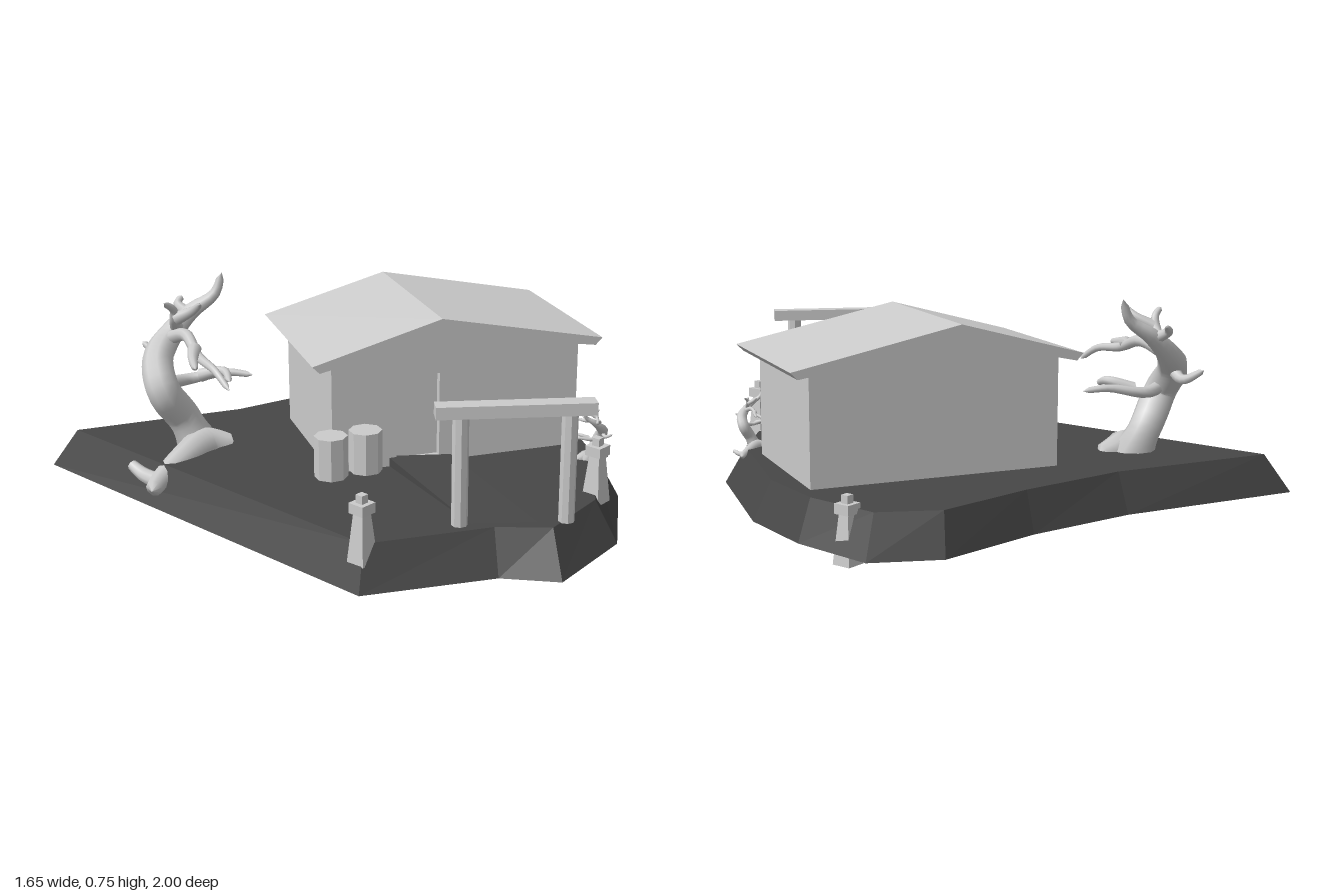
import * as THREE from 'three';

const grey = new THREE.MeshStandardMaterial({ color: 0xcccccc, flatShading: true, side: THREE.DoubleSide });
const bark = new THREE.MeshStandardMaterial({ color: 0xcccccc, side: THREE.DoubleSide });
const earth = new THREE.MeshStandardMaterial({ color: 0x474747, flatShading: true, side: THREE.DoubleSide });

function add(parent, name, geometry, material, x = 0, y = 0, z = 0) {
  const mesh = new THREE.Mesh(geometry, material);
  mesh.name = name;
  mesh.position.set(x, y, z);
  parent.add(mesh);
  return mesh;
}

// Sloped sides between two rings (counterclockwise from above) plus a top cap
function mound(bottom, top) {
  const pos = [], n = bottom.length;
  for (let i = 0; i < n; i++) {
    const j = (i + 1) % n;
    pos.push(...bottom[i], ...bottom[j], ...top[j], ...bottom[i], ...top[j], ...top[i]);
  }
  const outline = top.map(([x, , z]) => new THREE.Vector2(x, -z));
  for (const face of THREE.ShapeUtils.triangulateShape(outline, [])) {
    for (const i of face) pos.push(...top[i]);
  }
  const g = new THREE.BufferGeometry();
  g.setAttribute('position', new THREE.Float32BufferAttribute(pos, 3));
  g.computeVertexNormals();
  return g;
}

// Tube whose radius follows a list of values, closed at both ends
function limb(points, radii) {
  const curve = new THREE.CatmullRomCurve3(points.map(p => new THREE.Vector3(...p)));
  const n = points.length * 4, sides = 9;
  const g = new THREE.TubeGeometry(curve, n, 1, sides);
  const pos = g.attributes.position, v = new THREE.Vector3();
  for (let i = 0; i <= n; i++) {
    const c = curve.getPointAt(i / n);
    const f = (i / n) * (radii.length - 1), k = Math.min(Math.floor(f), radii.length - 2);
    const r = i === 0 || i === n ? 0 : THREE.MathUtils.lerp(radii[k], radii[k + 1], f - k);
    for (let s = 0; s <= sides; s++) {
      const id = i * (sides + 1) + s;
      v.fromBufferAttribute(pos, id).sub(c).multiplyScalar(r).add(c);
      pos.setXYZ(id, v.x, v.y, v.z);
    }
  }
  return g;
}

function extrude(points, depth, hole) {
  const toVec = list => list.map(p => new THREE.Vector2(...p));
  const shape = new THREE.Shape(toVec(points));
  if (hole) shape.holes.push(new THREE.Path(toVec(hole)));
  return new THREE.ExtrudeGeometry(shape, { depth, bevelEnabled: false });
}

function createIsland() {
  const g = new THREE.Group();
  g.name = 'island';
  const low = [[-0.78, -1], [-0.15, -0.7], [0.25, -0.585], [0.65, -0.53], [0.83, -0.36], [0.8, -0.05],
    [0.7, 0.25], [0.37, 0.72], [0.04, 0.94], [-0.31, 0.975], [-0.42, 0.81], [-0.8, 0.57]];
  const high = [[-0.72, -0.92], [-0.17, -0.645], [0.23, -0.54], [0.6, -0.485], [0.755, -0.33], [0.74, -0.05],
    [0.65, 0.21], [0.34, 0.64], [0.02, 0.86], [-0.25, 0.89], [-0.37, 0.75], [-0.735, 0.53]];
  const ring = (pts, y) => pts.map(([x, z]) => [x, y, z]).reverse();
  add(g, 'ground', mound(ring(low, 0.04), ring(high, 0.18)), earth);
  // Path rises gently from the gate to the door
  const edge = [[-0.4, 0.18, 0.68], [-0.25, 0.18, 0.83], [-0.05, 0.212, 0.3], [-0.21, 0.212, 0.15]];
  add(g, 'path', mound(edge.map(([x, , z]) => [x, 0.175, z]), edge), earth);
  return g;
}

function createHouse() {
  const g = new THREE.Group();
  g.name = 'house';
  const gable = [[-0.45, 0.165], [0.45, 0.165], [0.45, 0.563], [-0.07, 0.645], [-0.45, 0.566]];
  const doorway = [[-0.22, 0.2], [-0.22, 0.5], [-0.065, 0.5], [-0.065, 0.2]];
  add(g, 'walls', extrude(gable, 0.545), grey, 0, 0, -0.285);
  add(g, 'frontWall', extrude(gable, 0.025, doorway), grey, 0, 0, 0.26);
  // Roof is thick at the ridge and thin at the eaves
  const roof = [[-0.5, 0.555], [-0.07, 0.645], [0.5, 0.555], [0.525, 0.58], [-0.07, 0.703], [-0.525, 0.58]];
  add(g, 'roof', extrude(roof, 0.65), grey, 0, 0, -0.328);
  g.position.set(0.138, 0, 0.04);
  g.rotation.y = -0.515;
  return g;
}

function createGate() {
  const g = new THREE.Group();
  g.name = 'gate';
  add(g, 'gateBeam', new THREE.BoxGeometry(0.495, 0.04, 0.057), grey, 0, 0.585, 0);
  for (const s of [-1, 1]) {
    add(g, 'gatePost', new THREE.CylinderGeometry(0.026, 0.026, 0.36, 8), grey, s * 0.168, 0.388, 0);
  }
  g.position.set(-0.354, 0, 0.81);
  g.rotation.y = -0.75;
  return g;
}

function createLantern(x, y, z) {
  const g = new THREE.Group();
  g.name = 'lantern';
  const body = new THREE.CylinderGeometry(0.019 * Math.SQRT2, 0.034 * Math.SQRT2, 0.165, 4);
  add(g, 'lanternBody', body.rotateY(Math.PI / 4), grey, 0, 0.0825, 0);
  add(g, 'lanternCap', new THREE.BoxGeometry(0.058, 0.034, 0.058), grey, 0, 0.181, 0);
  add(g, 'lanternFinial', new THREE.BoxGeometry(0.027, 0.028, 0.027), grey, 0, 0.211, 0);
  g.position.set(x, y, z);
  return g;
}

// Gnarled bare tree, modelled around its foot
function createTree(name) {
  const g = new THREE.Group();
  g.name = name;
  const foot = [-0.52, 0.15, -0.5];
  const part = (label, pts, radii) =>
    add(g, label, limb(pts.map(p => p.map((c, i) => c - foot[i])), radii), bark);
  part('trunk', [[-0.49, 0.13, -0.49], [-0.53, 0.27, -0.54], [-0.61, 0.39, -0.55], [-0.57, 0.48, -0.62],
    [-0.48, 0.55, -0.65], [-0.4, 0.62, -0.63], [-0.33, 0.68, -0.58], [-0.3, 0.755, -0.57]],
    [0.09, 0.06, 0.062, 0.058, 0.052, 0.036, 0.023, 0.012]);
  part('root', [[-0.4, 0.16, -0.42], [-0.5, 0.18, -0.46], [-0.62, 0.17, -0.44], [-0.74, 0.135, -0.42], [-0.82, 0.12, -0.38]],
    [0.035, 0.065, 0.05, 0.037, 0.028]);
  part('root', [[-0.76, 0.13, -0.42], [-0.755, 0.13, -0.5], [-0.75, 0.15, -0.58]], [0.03, 0.025, 0.018]);
  const branches = [
    [[-0.54, 0.5, -0.63], [-0.5, 0.46, -0.7], [-0.51, 0.5, -0.78]],
    [[-0.6, 0.41, -0.56], [-0.48, 0.4, -0.56], [-0.38, 0.42, -0.47], [-0.32, 0.41, -0.4]],
    [[-0.46, 0.41, -0.54], [-0.42, 0.44, -0.44], [-0.45, 0.42, -0.38]],
    [[-0.5, 0.54, -0.64], [-0.52, 0.58, -0.52], [-0.57, 0.54, -0.4], [-0.6, 0.52, -0.28], [-0.61, 0.47, -0.2]],
    [[-0.55, 0.56, -0.44], [-0.62, 0.55, -0.37], [-0.67, 0.54, -0.3]],
    [[-0.46, 0.57, -0.64], [-0.52, 0.62, -0.58], [-0.54, 0.67, -0.56], [-0.58, 0.7, -0.56]],
    [[-0.53, 0.63, -0.57], [-0.5, 0.67, -0.5], [-0.5, 0.7, -0.46]],
    [[-0.41, 0.61, -0.63], [-0.41, 0.64, -0.69], [-0.38, 0.66, -0.7]],
  ];
  for (const b of branches) part('branch', b, [0.026, 0.018, 0.01]);
  return g;
}

export function createModel() {
  const model = new THREE.Group();
  model.name = 'houseOnIsland';
  model.add(createIsland(), createHouse(), createGate());
  for (const p of [[-0.73, 0.115, 0.52], [0.08, 0.145, 0.82], [0.77, 0, -0.235]]) model.add(createLantern(...p));

  for (const [x, z] of [[-0.455, 0.12], [-0.338, 0.168]]) {
    add(model, 'barrel', new THREE.CylinderGeometry(0.057, 0.057, 0.145, 8), grey, x, 0.277, z);
  }

  const bigTree = createTree('bigTree');
  bigTree.position.set(-0.52, 0.15, -0.5);
  const smallTree = createTree('smallTree');
  smallTree.scale.setScalar(0.34);
  smallTree.rotation.y = Math.PI;
  smallTree.position.set(0.31, 0.172, 0.63);
  model.add(bigTree, smallTree);
  return model;
}
